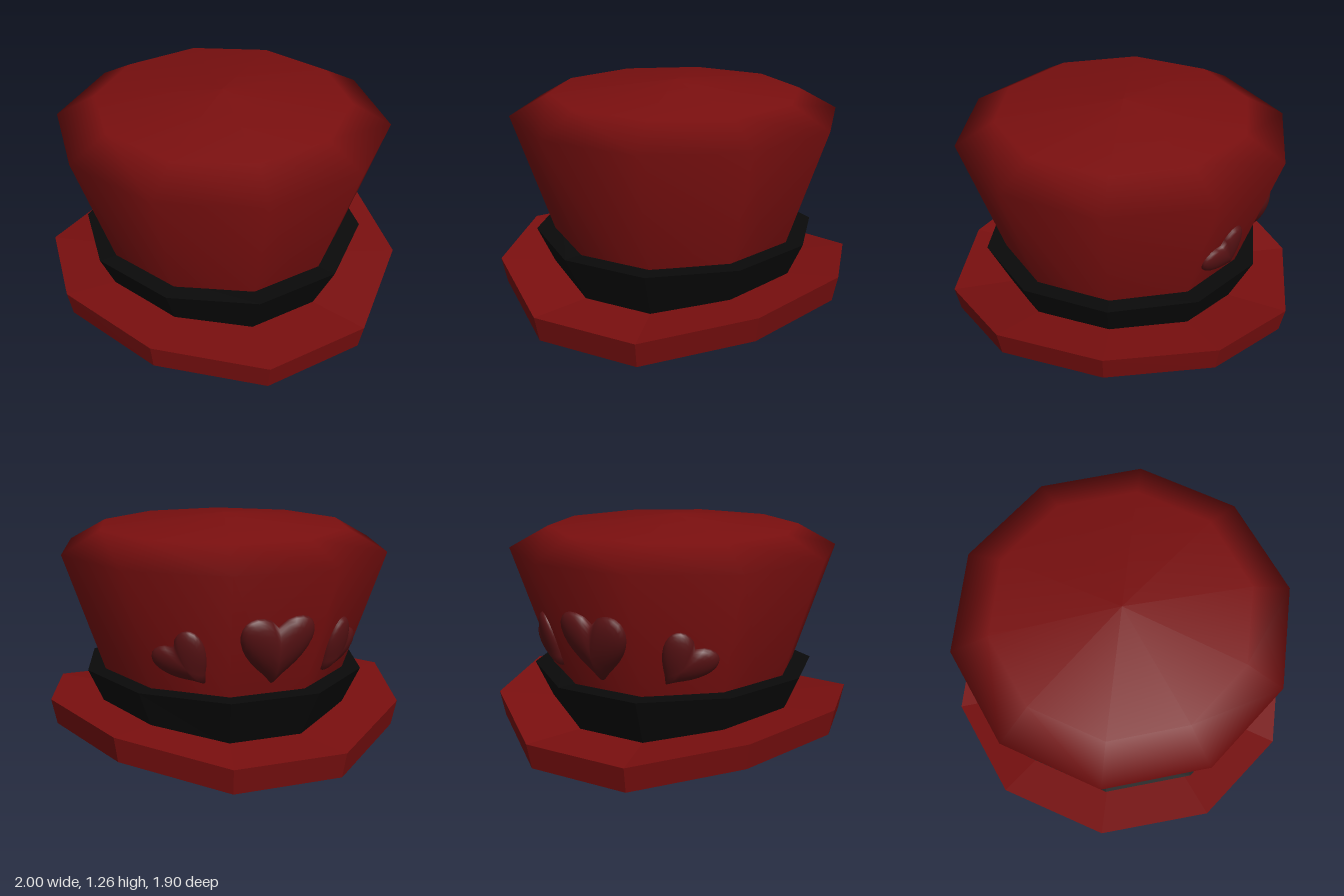
import * as THREE from 'three';
import { mergeVertices } from 'three/addons/utils/BufferGeometryUtils.js';

const SIDES = 10;
const red = new THREE.MeshStandardMaterial({ name: 'deep red felt', color: 0x7a0f0f });
const black = new THREE.MeshStandardMaterial({ name: 'black ribbon', color: 0x0a0a0a });
const heartRed = new THREE.MeshStandardMaterial({ name: 'dark heart red', color: 0x581214 });

// Ten-sided lathe with corners on the x axis
function tenSided(points) {
  return new THREE.LatheGeometry(
    points.map(([r, y]) => new THREE.Vector2(r, y)), SIDES, Math.PI / SIDES, Math.PI * 2);
}

// Raises each vertex by a rule, then gives the faces flat normals
function bendFlat(geometry, lift) {
  const p = geometry.attributes.position;
  for (let i = 0; i < p.count; i++) {
    const r = Math.hypot(p.getX(i), p.getZ(i));
    if (r > 0.1) p.setY(i, p.getY(i) + lift(Math.abs(p.getX(i)) / r, p.getY(i)));
  }
  const flat = geometry.toNonIndexed();
  flat.computeVertexNormals();
  return flat;
}

function part(name, geometry, material) {
  const mesh = new THREE.Mesh(geometry, material);
  mesh.name = name;
  return mesh;
}

// Puffy heart: a flattened sphere sheared upwards away from its middle line
function heartGeometry() {
  let g = new THREE.SphereGeometry(1, 28, 14).rotateX(Math.PI / 2);
  const p = g.attributes.position;
  for (let i = 0; i < p.count; i++) {
    const x = p.getX(i);
    p.setXYZ(i, x * 0.2, (p.getY(i) + 0.8 * Math.abs(x) ** 0.7 - 0.2) * 0.165, p.getZ(i) * 0.07);
  }
  g.deleteAttribute('uv');
  g.deleteAttribute('normal');
  g = mergeVertices(g, 1e-4);
  g.computeVertexNormals();
  return g;
}

export function createModel() {
  const hat = new THREE.Group();
  hat.name = 'topHat';

  // Crown: flared wall, bevel and shallow peak, smoothly shaded
  hat.add(part('crown', tenSided([[0.593, 0.15], [0.915, 1.08], [0.7, 1.2], [0, 1.265]]), red));

  // Brim: thick plate curling up at both sides
  const brim = tenSided([[0, 0.025], [0.97, 0], [1, 0.14], [0, 0.165]]);
  hat.add(part('brim', bendFlat(brim, (side) => 0.15 * (side - 0.309) / 0.691), red));

  // Band: flared ribbon with a flat upper rim
  const band = tenSided([[0.645, 0.12], [0.79, 0.403], [0.64, 0.403]]);
  hat.add(part('hatBand', bendFlat(band, (side, y) => (y > 0.3 ? 0.03 * side * side : 0)), black));

  // Hearts: a large one at the back, a smaller tilted one on each side of it
  const geometry = heartGeometry();
  for (const s of [-1, 0, 1]) {
    const y = s ? 0.6 : 0.66;
    const reach = (0.915 - 0.346 * (1.08 - y)) * Math.cos(Math.PI / SIDES);
    const angle = Math.PI - s * Math.PI / 5;
    const heart = part(s ? (s > 0 ? 'leftHeart' : 'rightHeart') : 'middleHeart', geometry, heartRed);
    heart.position.set(Math.sin(angle) * reach, y, Math.cos(angle) * reach);
    heart.rotation.set(Math.atan(0.33), angle, s * 0.62, 'YXZ');
    heart.scale.setScalar(s ? 0.76 : 1);
    hat.add(heart);
  }
  return hat;
}
